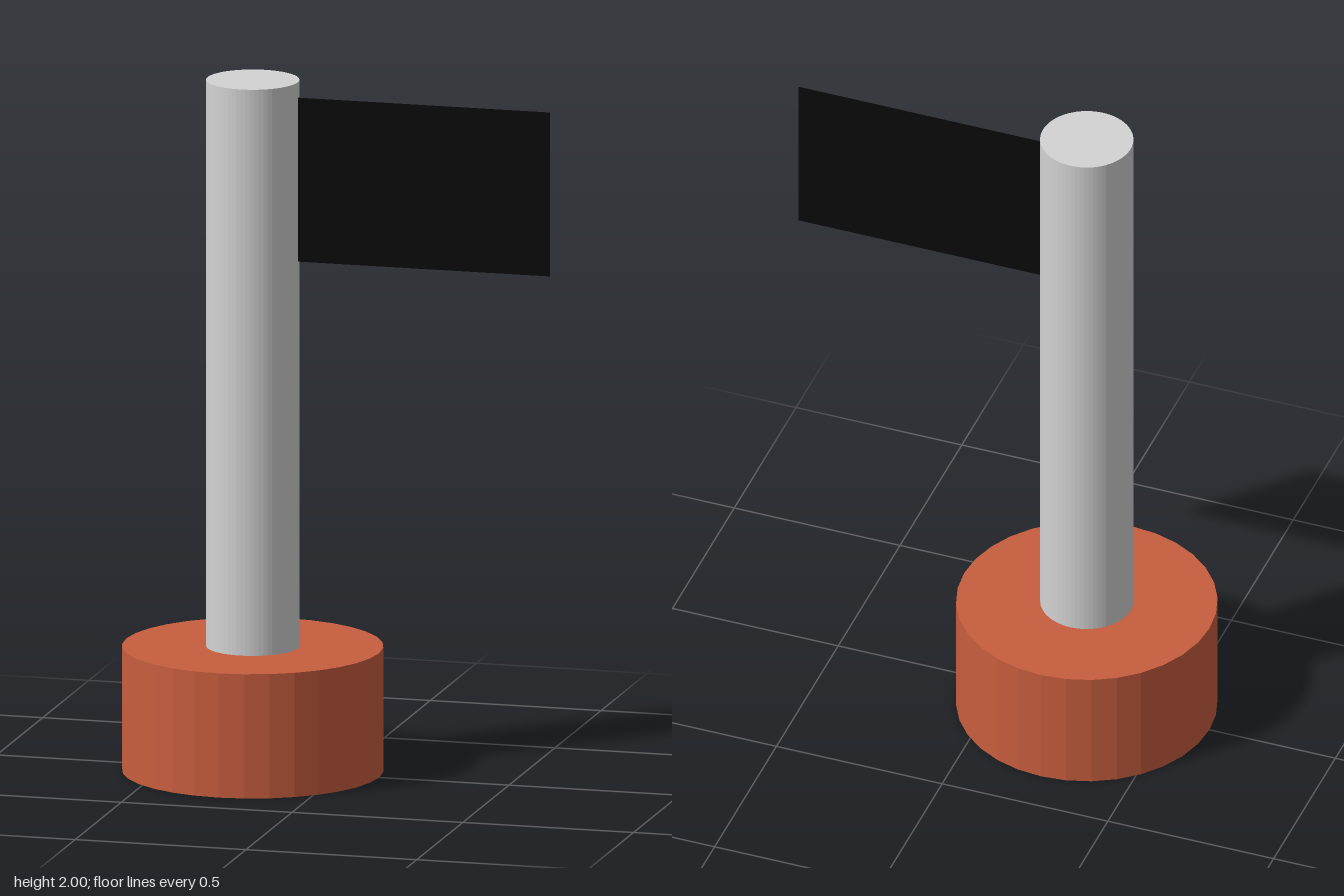
import * as THREE from 'three';

export function createModel() {
  const terracotta = new THREE.MeshStandardMaterial({ color: 0xc85e3e });
  terracotta.name = 'terracotta';
  terracotta.flatShading = true;
  const lightGrey = new THREE.MeshStandardMaterial({ color: 0xd3d3d3 });
  lightGrey.name = 'light grey';
  lightGrey.flatShading = true;
  const black = new THREE.MeshStandardMaterial({ color: 0x0a0a0a });
  black.name = 'black';
  black.side = THREE.DoubleSide;

  const group = new THREE.Group();
  const axisX = -0.25;

  function add(name, geometry, material, x, y) {
    const mesh = new THREE.Mesh(geometry, material);
    mesh.name = name;
    mesh.position.set(x, y, 0);
    group.add(mesh);
  }

  // Round base
  add('base', new THREE.CylinderGeometry(0.37, 0.37, 0.36, 32), terracotta, axisX, 0.18);

  // Pole standing on the base
  add('pole', new THREE.CylinderGeometry(0.132, 0.132, 1.64, 64), lightGrey, axisX, 1.18);

  // Flat flag, seen from both sides, starting at the pole surface
  add('flag', new THREE.PlaneGeometry(0.74, 0.475), black, 0.25, 1.718);

  return group;
}
